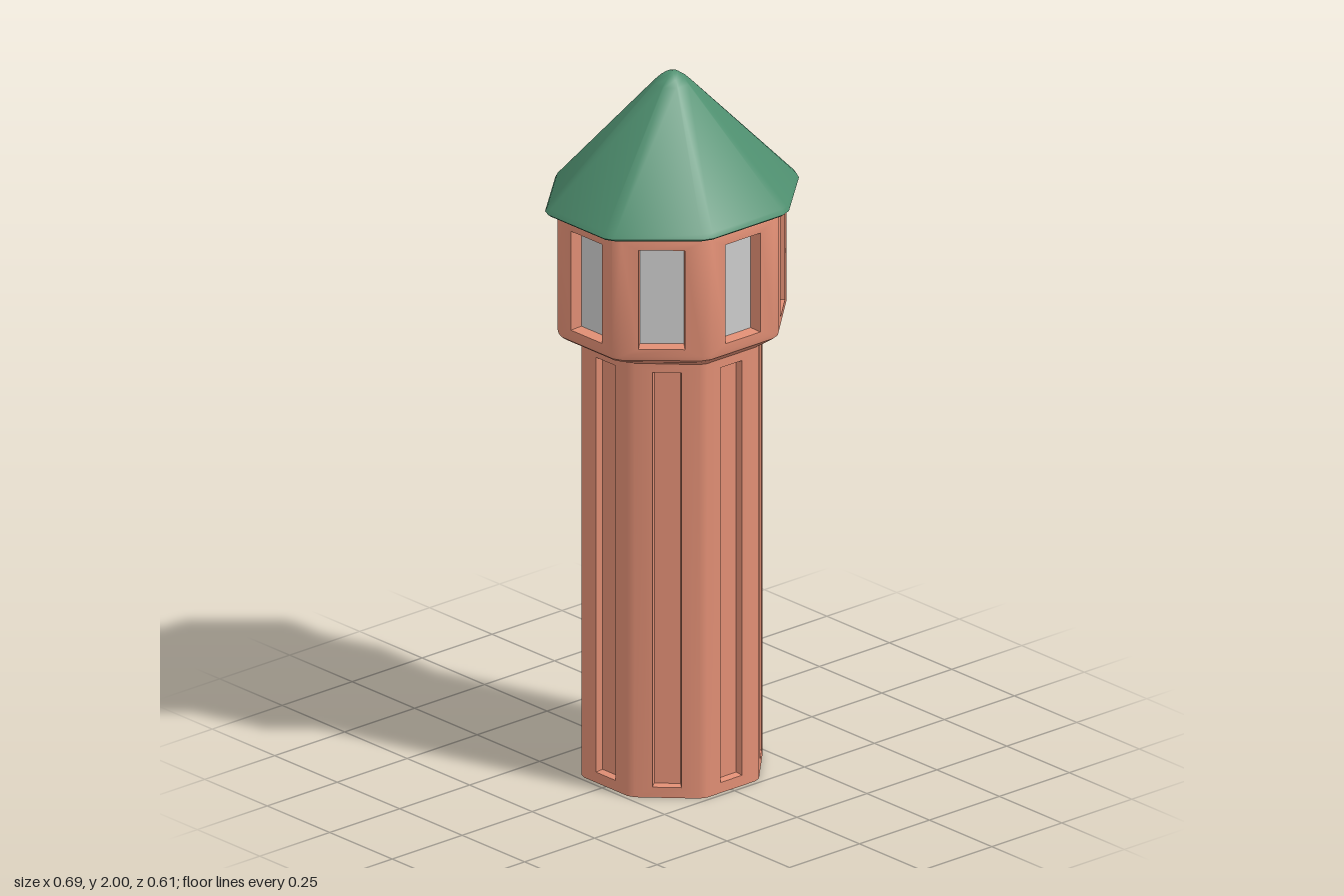
import * as THREE from 'three';
import { toCreasedNormals } from 'three/addons/utils/BufferGeometryUtils.js';

const brick = new THREE.MeshStandardMaterial({ color: 0xe08e74, side: THREE.DoubleSide });
const green = new THREE.MeshStandardMaterial({ color: 0x4f9070, side: THREE.DoubleSide });
const grey = new THREE.MeshStandardMaterial({ color: 0xcccccc, side: THREE.DoubleSide });

// Octagon with clipped corners: 16 points, even sides are corner clips, odd sides are faces
function ring(rx, rz, y, clip = 0.06) {
  const corner = (k) => {
    const a = (k * 45 + 22.5) * Math.PI / 180, r = 1 / Math.cos(Math.PI / 8);
    return new THREE.Vector3(rx * r * Math.cos(a), y, rz * r * Math.sin(a));
  };
  const points = [];
  for (let k = 0; k < 8; k++) {
    points.push(corner(k).lerp(corner(k - 1), clip), corner(k).lerp(corner(k + 1), clip));
  }
  return points;
}

function quad(list, a, b, c, d) {
  for (const t of [[a, b, c], [a, c, d]]) {
    const area = new THREE.Vector3().crossVectors(t[1].clone().sub(t[0]), t[2].clone().sub(t[0]));
    if (area.length() > 1e-9) t.forEach((p) => list.push(p.x, p.y, p.z));
  }
}

// Wall face with a rectangular recess; the back of the recess goes to its own list
function recessedFace(wall, back, outer, { half, y0, y1, depth, taper }) {
  const [bl, br] = outer;
  const u = br.clone().sub(bl).normalize();
  const n = new THREE.Vector3().crossVectors(u, new THREE.Vector3(0, 1, 0));
  const mid = bl.clone().add(br).multiplyScalar(0.5);
  const rect = (inset, d) => [[-1, y0 + inset], [1, y0 + inset], [1, y1 - inset], [-1, y1 - inset]]
    .map(([s, y]) => mid.clone().addScaledVector(u, s * (half - inset)).addScaledVector(n, -d).setY(y));
  const edge = rect(0, 0), deep = rect(taper, depth);
  for (let j = 0; j < 4; j++) {
    const k = (j + 1) % 4;
    quad(wall, outer[j], outer[k], edge[k], edge[j]);
    quad(wall, edge[j], edge[k], deep[k], deep[j]);
  }
  quad(back, ...deep);
}

// Skin a stack of rings; the band with index panelBand gets recessed faces
function skin(rings, wall, back, panelBand = -1, panel = null) {
  for (let r = 0; r < rings.length - 1; r++) {
    for (let i = 0; i < 16; i++) {
      const j = (i + 1) % 16;
      const corners = [rings[r][j], rings[r][i], rings[r + 1][i], rings[r + 1][j]];
      if (r === panelBand && i % 2 === 1) recessedFace(wall, back, corners, panel);
      else quad(wall, ...corners);
    }
  }
}

function makeMesh(name, list, material, crease = 0.6) {
  const geometry = new THREE.BufferGeometry();
  geometry.setAttribute('position', new THREE.Float32BufferAttribute(list, 3));
  const mesh = new THREE.Mesh(toCreasedNormals(geometry, crease), material);
  mesh.name = name;
  return mesh;
}

export function createModel() {
  const tower = new THREE.Group();
  tower.name = 'tower';

  // Shaft: open at the bottom, one tall sunken panel per face
  const shaft = [];
  skin([ring(0.237, 0.237, 0), ring(0.237, 0.237, 1.25)], shaft, shaft, 0,
    { half: 0.039, y0: 0.03, y1: 1.225, depth: 0.02, taper: 0.004 });
  tower.add(makeMesh('shaft', shaft, brick));

  // Lantern room: flared base, wider than deep, one window per face
  const room = [], panes = [];
  skin([
    ring(0.237, 0.237, 1.25),
    ring(0.29, 0.268, 1.272),
    ring(0.303, 0.281, 1.282),
    ring(0.306, 0.284, 1.295),
    ring(0.306, 0.284, 1.625),
    ring(0.3, 0.278, 1.638),
  ], room, panes, 3, { half: 0.062, y0: 1.315, y1: 1.6, depth: 0.035, taper: 0.003 });
  tower.add(makeMesh('lanternRoom', room, brick));
  tower.add(makeMesh('windowPanes', panes, grey));

  // Roof: closed underside, thin rounded eave and a blunt tip
  const roof = [];
  skin([
    ring(0, 0, 1.636),
    ring(0.336, 0.299, 1.636),
    ring(0.343, 0.306, 1.642),
    ring(0.336, 0.3, 1.656),
    ring(0.05, 0.045, 1.967),
    ring(0.034, 0.03, 1.983),
    ring(0.017, 0.015, 1.995),
    ring(0, 0, 2),
  ], roof, roof);
  tower.add(makeMesh('roof', roof, green, 0.7));

  return tower;
}
